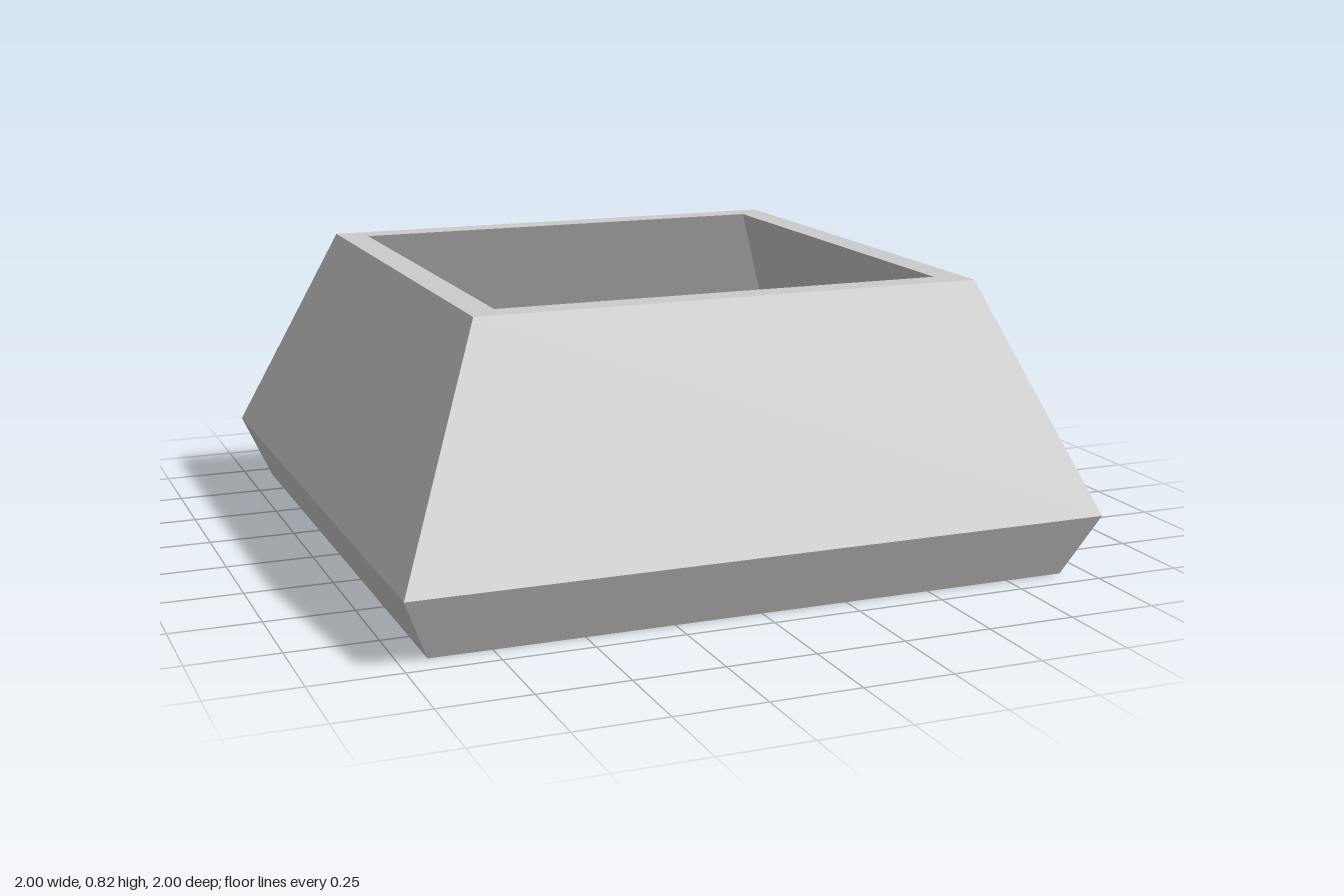
import * as THREE from 'three';

const stone = new THREE.MeshStandardMaterial({ color: 0xcccccc, flatShading: true });
stone.name = 'light grey';

// Square ring surface: a four-sided lathe whose profile is [half width, height]
function squareLathe(name, profile) {
  const points = profile.map(([half, y]) => new THREE.Vector2(half * Math.SQRT2, y));
  const geometry = new THREE.LatheGeometry(points, 4, Math.PI / 4).toNonIndexed();
  geometry.computeVertexNormals();
  const mesh = new THREE.Mesh(geometry, stone);
  mesh.name = name;
  return mesh;
}

export function createModel() {
  const model = new THREE.Group();
  model.name = 'squarePlanter';

  // Closed underside, flared foot and tapering outer walls
  model.add(squareLathe('outerShell', [[0, 0], [0.922, 0], [1, 0.182], [0.727, 0.82]]));

  // Flat rim around the opening
  model.add(squareLathe('rim', [[0.727, 0.82], [0.645, 0.82]]));

  // Inner walls parallel to the outside, widening down to the floor
  model.add(squareLathe('innerWalls', [[0.645, 0.82], [0.915, 0.182]]));

  // Flat floor of the cavity
  model.add(squareLathe('floor', [[0.915, 0.182], [0, 0.182]]));

  return model;
}
